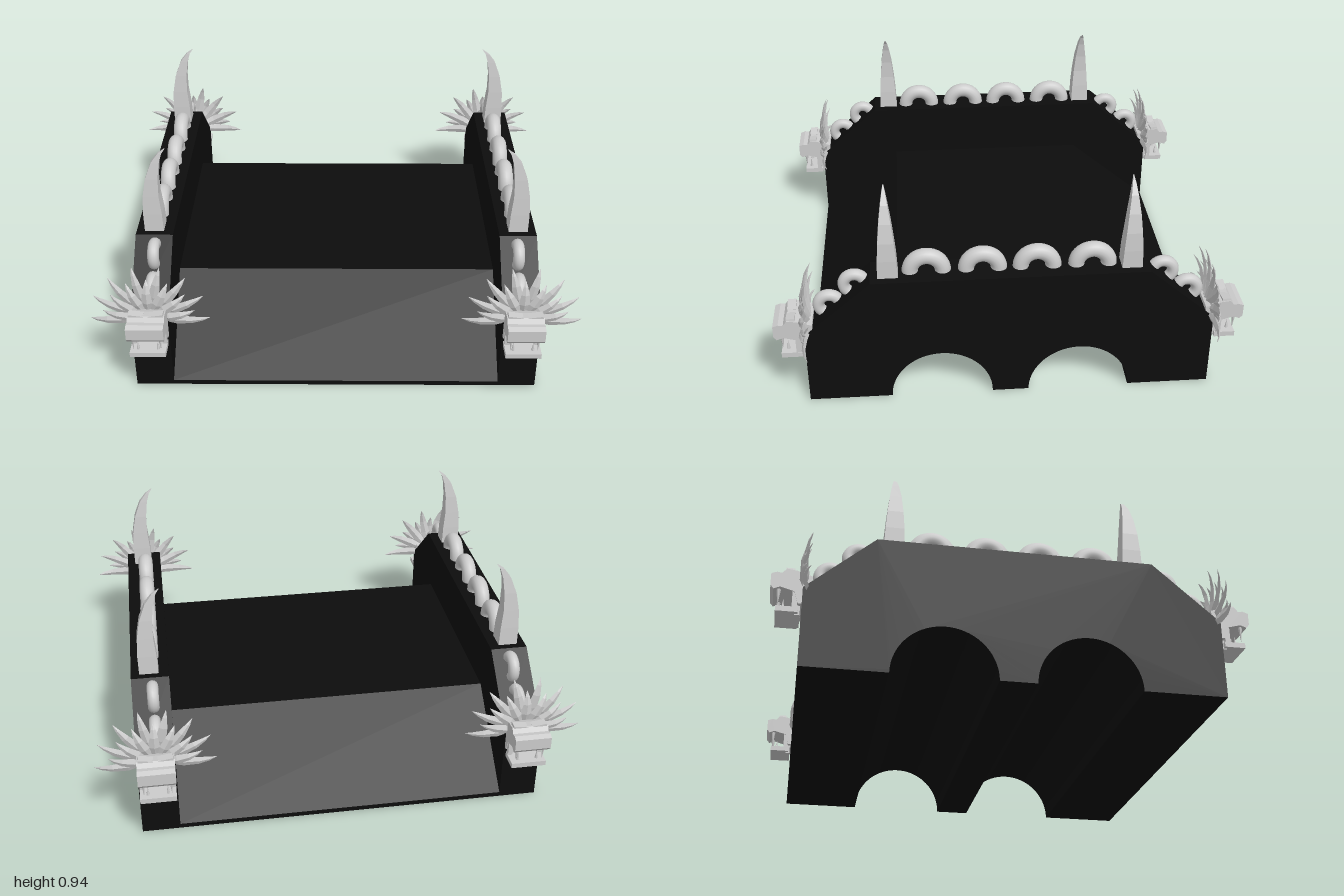
import * as THREE from 'three';
import { toCreasedNormals } from 'three/addons/utils/BufferGeometryUtils.js';

const black = new THREE.MeshStandardMaterial({ color: 0x0d0d0d });
const grey = new THREE.MeshStandardMaterial({ color: 0xcccccc });
const greyFlat = new THREE.MeshStandardMaterial({ color: 0xcccccc, flatShading: true });

function add(parent, name, geometry, material, x = 0, y = 0, z = 0) {
  const mesh = new THREE.Mesh(geometry, material);
  mesh.name = name;
  mesh.position.set(x, y, z);
  parent.add(mesh);
  return mesh;
}

// Extrude a (z, y) side profile along x, centred on x = 0
function slab(shape, width) {
  const geo = new THREE.ExtrudeGeometry(shape, { depth: width, bevelEnabled: false, curveSegments: 24 });
  geo.rotateY(-Math.PI / 2).translate(width / 2, 0, 0);
  return toCreasedNormals(geo, 0.5);
}

// Bridge side profile with two arches cut out of the underside
function bridgeProfile(endY, shoulderZ, topY) {
  const s = new THREE.Shape();
  s.moveTo(-0.835, 0);
  for (const c of [-0.285, 0.285]) {
    s.lineTo(c - 0.21, 0);
    s.absarc(c, 0, 0.21, Math.PI, 0, true);
  }
  s.lineTo(0.835, 0);
  s.lineTo(0.835, endY);
  s.lineTo(shoulderZ, topY);
  s.lineTo(-shoulderZ, topY);
  s.lineTo(-0.835, endY);
  s.closePath();
  return s;
}

// Loft four-sided sections [x, y, z, halfX, halfZ] stacked upwards in y
function loft(sections, diamond) {
  const corners = diamond
    ? [[1, 0], [0, -1], [-1, 0], [0, 1]]
    : [[1, 1], [1, -1], [-1, -1], [-1, 1]];
  const pos = [], idx = [];
  for (const [x, y, z, hx, hz] of sections)
    for (const [a, b] of corners) pos.push(x + a * hx, y, z + b * hz);
  for (let i = 0; i < sections.length - 1; i++)
    for (let j = 0; j < 4; j++) {
      const a = i * 4 + j, b = i * 4 + (j + 1) % 4;
      idx.push(a, b, a + 4, b, b + 4, a + 4);
    }
  idx.push(0, 2, 1, 0, 3, 2);
  const geo = new THREE.BufferGeometry();
  geo.setAttribute('position', new THREE.Float32BufferAttribute(pos, 3));
  geo.setIndex(idx);
  geo.computeVertexNormals();
  return geo;
}

// Beast head facing +z, with a fan of pointed mane blades behind it
function makeHead() {
  const head = new THREE.Group();
  head.name = 'beastHead';

  const upper = new THREE.Shape([
    [0.8, 0.26], [0.85, 0.26], [0.865, 0.31], [0.92, 0.325], [0.945, 0.315], [0.957, 0.33],
    [0.957, 0.38], [0.935, 0.388], [0.915, 0.385], [0.9, 0.405], [0.86, 0.4], [0.8, 0.38],
  ].map(([z, y]) => new THREE.Vector2(z, y)));
  add(head, 'upperJaw', slab(upper, 0.15), greyFlat);

  add(head, 'lowerJaw', new THREE.BoxGeometry(0.145, 0.022, 0.085), greyFlat, 0, 0.235, 0.89);
  add(head, 'throat', new THREE.BoxGeometry(0.11, 0.1, 0.02), greyFlat, 0, 0.27, 0.85);

  for (const s of [-1, 1]) {
    add(head, 'jawHinge', new THREE.BoxGeometry(0.018, 0.1, 0.02), greyFlat, s * 0.062, 0.275, 0.862);
    add(head, 'upperFang', new THREE.ConeGeometry(0.009, 0.065, 6).rotateX(Math.PI), greyFlat, s * 0.055, 0.29, 0.925);
    add(head, 'lowerFang', new THREE.ConeGeometry(0.008, 0.05, 6), greyFlat, s * 0.04, 0.265, 0.905);
    const brow = add(head, 'brow', new THREE.BoxGeometry(0.06, 0.016, 0.035), greyFlat, s * 0.04, 0.4, 0.885);
    brow.rotation.z = s * 0.15;
  }

  // Mane: long blades with shorter ones between them
  const count = 15;
  for (let i = 0; i < count; i++) {
    const angle = (i / (count - 1) - 0.5) * Math.PI * 1.02;
    const len = i % 2 ? 0.19 : 0.245;
    const blade = loft([
      [0, 0.02, 0, 0.014, 0.008],
      [0, len * 0.45, 0.018, 0.022, 0.009],
      [0, len * 0.7, 0.02, 0.017, 0.007],
      [0, len * 0.88, 0.012, 0.009, 0.004],
      [0, len, 0, 0.0005, 0.0005],
    ], true);
    const mesh = add(head, 'maneBlade', blade, greyFlat, 0, 0.34, i % 2 ? 0.822 : 0.81);
    mesh.rotation.z = -angle;
  }
  return head;
}

export function createModel() {
  const model = new THREE.Group();
  model.name = 'bridge';

  // Ramped deck between two parapet walls
  add(model, 'deck', slab(bridgeProfile(0.02, 0.46, 0.33), 1.36), black);
  for (const s of [-1, 1])
    add(model, 'parapet', slab(bridgeProfile(0.33, 0.56, 0.57), 0.155), black, s * 0.7575);

  const bigRing = new THREE.TorusGeometry(0.066, 0.033, 16, 36).rotateY(Math.PI / 2);
  const smallRing = new THREE.TorusGeometry(0.043, 0.024, 14, 30).rotateY(Math.PI / 2);

  // Square horn bowing outward, its tip curling inward
  const horn = loft([
    [0.76, 0.55, 0, 0.04, 0.042],
    [0.763, 0.65, 0, 0.039, 0.038],
    [0.765, 0.73, 0, 0.033, 0.032],
    [0.757, 0.81, 0, 0.026, 0.024],
    [0.739, 0.88, 0, 0.017, 0.014],
    [0.718, 0.92, 0, 0.008, 0.007],
    [0.695, 0.943, 0, 0.001, 0.001],
  ], false);

  for (const side of [-1, 1]) {
    // Body coils rising out of the parapet
    for (const z of [-0.335, -0.11, 0.11, 0.335])
      add(model, 'bodyCoil', bigRing, grey, side * 0.75, 0.57, z);
    for (const end of [-1, 1]) {
      add(model, 'slopeCoil', smallRing, grey, side * 0.75, 0.52, end * 0.625);
      add(model, 'slopeCoil', smallRing, grey, side * 0.75, 0.425, end * 0.732);

      const spike = add(model, 'horn', horn, greyFlat, 0, 0, end * 0.49);
      spike.rotation.y = side > 0 ? 0 : Math.PI;

      const head = makeHead();
      head.position.x = side * 0.7575;
      head.rotation.y = end > 0 ? 0 : Math.PI;
      model.add(head);
    }
  }
  return model;
}
